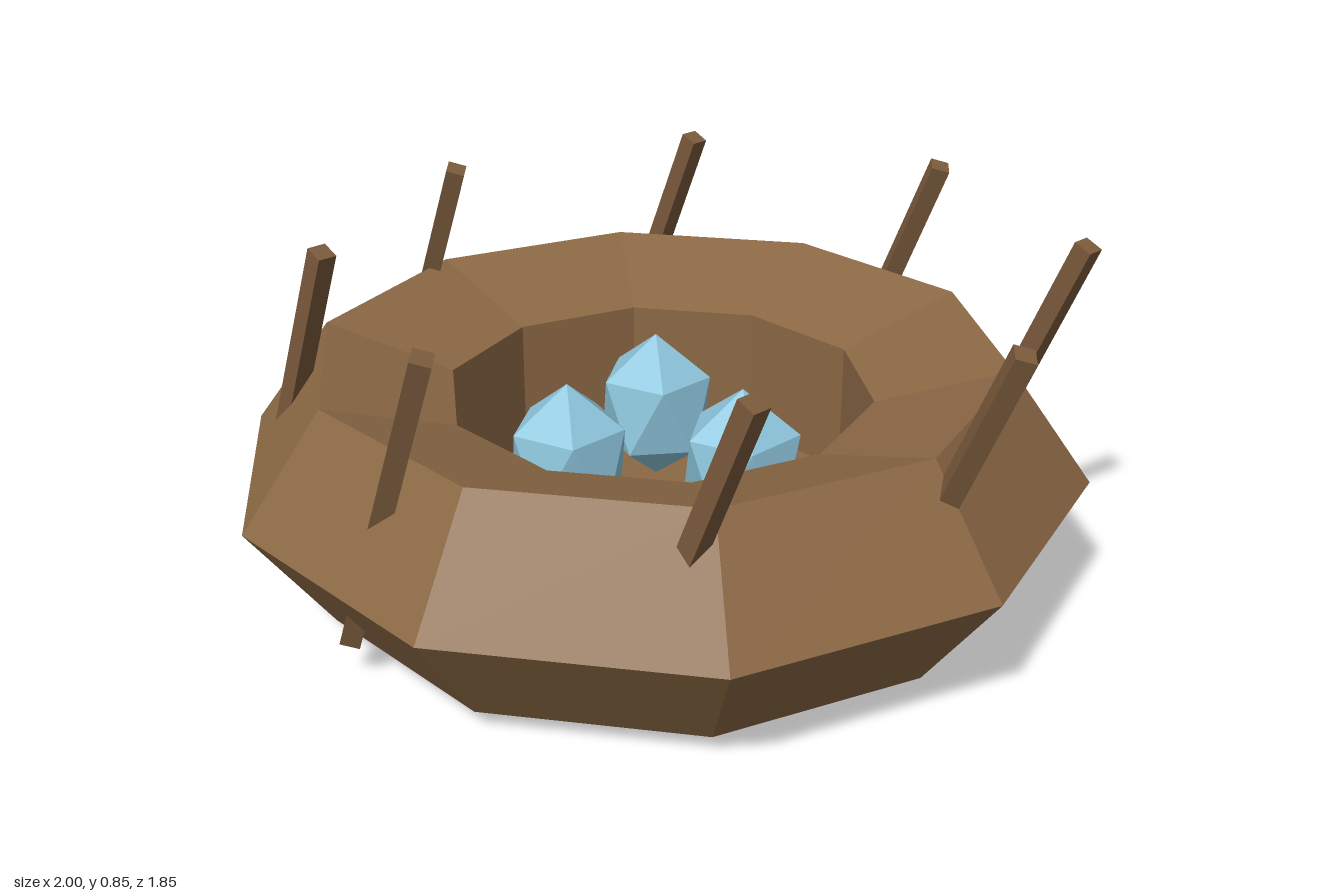
import * as THREE from 'three';

function material(name, hex) {
  const m = new THREE.MeshStandardMaterial({ color: hex, flatShading: true });
  m.name = name;
  return m;
}

export function createModel() {
  const group = new THREE.Group();
  group.name = 'nest';
  const nestBrown = material('nestBrown', 0x8b6844);
  const twigBrown = material('twigBrown', 0x7b5b3c);
  const eggBlue = material('eggBlue', 0x8ec6dd);

  function add(name, geometry, mat, x, y, z) {
    const mesh = new THREE.Mesh(geometry, mat);
    mesh.name = name;
    mesh.position.set(x, y, z);
    group.add(mesh);
    return mesh;
  }

  // Faceted ring and the floor disc beneath it
  const ring = new THREE.TorusGeometry(0.704, 0.268, 5, 10).rotateX(Math.PI / 2);
  add('nestRing', ring, nestBrown, 0, 0.3, 0);
  add('nestFloor', new THREE.CylinderGeometry(0.677, 0.677, 0.13, 10), nestBrown, 0, 0.065, 0);

  // Square twigs poked through the ring, all leaning towards +x
  const twigs = [
    [0.815, 0], [0.62, 0.515], [0.065, 0.81], [-0.54, 0.62],
    [-0.815, 0.05], [-0.61, -0.555], [-0.025, -0.815], [0.555, -0.585],
  ];
  twigs.forEach(([x, z], i) => {
    const twig = new THREE.CylinderGeometry(0.031, 0.031, 0.805, 4)
      .rotateY(i * Math.PI / 4)
      .rotateZ(-0.4);
    add('twig' + (i + 1), twig, twigBrown, x, 0.4625, z);
  });

  // Eggs: stretched icosahedrons standing on a corner
  const egg = new THREE.IcosahedronGeometry(0.147, 0)
    .rotateZ(Math.atan(2 / (1 + Math.sqrt(5))))
    .scale(1, 1.25, 1);
  [[-0.165, -0.145], [0.2, -0.065], [-0.09, 0.2]].forEach(([x, z], i) => {
    add('egg' + (i + 1), egg, eggBlue, x, 0.31, z);
  });

  return group;
}
